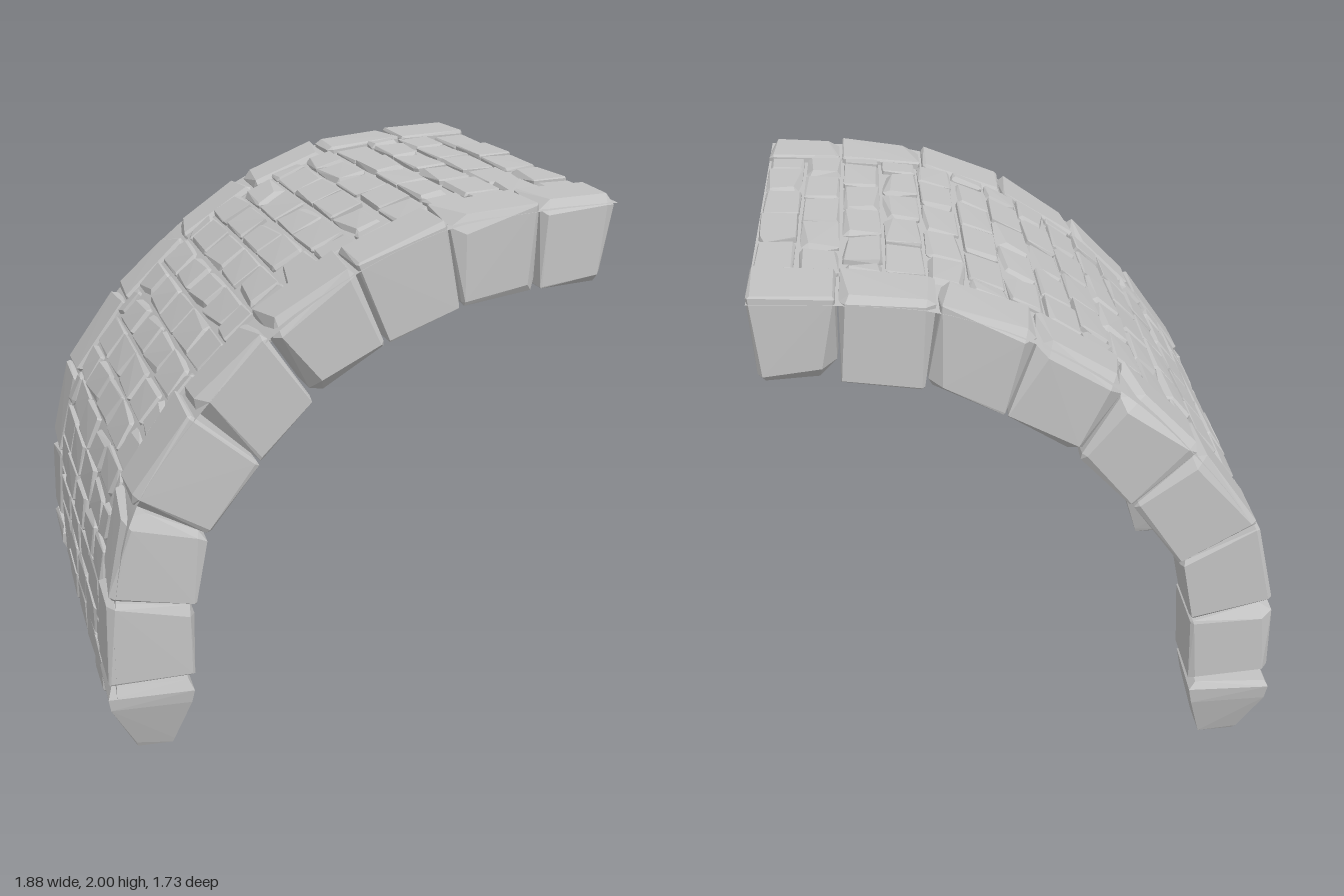
import * as THREE from 'three';
import { mergeGeometries } from 'three/addons/utils/BufferGeometryUtils.js';
import { ConvexGeometry } from 'three/addons/geometries/ConvexGeometry.js';
import { ParametricGeometry } from 'three/addons/geometries/ParametricGeometry.js';

let seed = 7;
const rand = () => {
  seed = (seed * 16807) % 2147483647;
  return seed / 2147483647;
};
const V = (x, y, z = 0) => new THREE.Vector3(x, y, z);

// Joints of the edge stones: [outer x, outer y, inner x, inner y]
const JOINTS = [
  [-0.94, 0.31, -0.62, 0.30], [-0.93, 0.65, -0.61, 0.595], [-0.845, 1.01, -0.555, 0.86],
  [-0.615, 1.335, -0.365, 1.12], [-0.35, 1.60, -0.165, 1.33], [-0.035, 1.81, 0.09, 1.515],
  [0.305, 1.945, 0.36, 1.625], [0.64, 1.985, 0.65, 1.67], [0.935, 2.0, 0.915, 1.68],
];

// Outer line of the vault, with a helper giving a point at a depth below it
const outline = new THREE.CatmullRomCurve3([V(-0.935, 0.14), ...JOINTS.map(j => V(j[0] * 0.997, j[1] - 0.006))]);
outline.arcLengthDivisions = 600;
function below(t, depth) {
  const p = outline.getPointAt(t), d = outline.getTangentAt(t);
  return V(p.x + d.y * depth, p.y - d.x * depth);
}

// Roughly hewn stone: a four-cornered section between z0 and z1 with uneven chipped corners
function stone(outerA, outerB, innerB, innerA, z0, z1, chip, taper = 0) {
  const size = [outerA.distanceTo(outerB), outerA.distanceTo(innerA), z1 - z0];
  const points = [];
  for (let n = 0; n < 8; n++) {
    const corner = [n & 1, (n >> 1) & 1, (n >> 2) & 1];
    const cut = chip * (0.25 + 1.1 * rand() * rand() * 1.6);
    for (let axis = 0; axis < 3; axis++) {
      const [u, v, w] = corner.map((c, k) => {
        const inset = (k === axis ? 0.005 * rand() : cut * (0.5 + rand() * 0.8)) / size[k];
        return c ? 1 - inset : inset;
      });
      const p = outerA.clone().lerp(outerB, u).lerp(innerA.clone().lerp(innerB, u), v);
      p.z = THREE.MathUtils.lerp(z0 + taper * v, z1 - taper * v, w);
      points.push(p);
    }
  }
  return new ConvexGeometry(points);
}

// Pointed foot stone: rings of [y, x0, x1, half depth]
function footStone(zMid) {
  const rings = [[0, -0.83, -0.70, 0.055], [0.015, -0.84, -0.69, 0.065], [0.2, -0.935, -0.64, 0.12],
    [0.26, -0.94, -0.63, 0.13], [0.29, -0.925, -0.65, 0.115]];
  const points = [];
  for (const [y, x0, x1, h] of rings) {
    for (const x of [x0, x1]) for (const s of [-1, 1]) {
      const r = () => (rand() - 0.5) * 0.012;
      points.push(V(x + r(), y === 0 ? 0 : y + r() * 2, zMid + s * h + r()));
    }
  }
  return new ConvexGeometry(points);
}

export function createModel() {
  seed = 7;
  const group = new THREE.Group();
  const stoneMat = new THREE.MeshStandardMaterial({ color: 0xc2c2c2 });
  stoneMat.name = 'greyStone';
  const add = (name, geometry) => {
    const mesh = new THREE.Mesh(geometry, stoneMat);
    mesh.name = name;
    group.add(mesh);
  };

  // Arched edge ribs at the front and back
  for (const side of [1, -1]) {
    const stones = [footStone(side * 0.73)];
    for (let i = 0; i < JOINTS.length - 1; i++) {
      const [a, b, c, d] = JOINTS[i], [e, f, g, h] = JOINTS[i + 1];
      const inner = 0.59 + rand() * 0.015;
      const z = side > 0 ? [inner, 0.86] : [-0.86, -inner];
      const gap = 0.012;
      const A = V(a, b), B = V(e, f), C = V(g, h), D = V(c, d);
      const last = i === JOINTS.length - 2;
      stones.push(stone(
        A.clone().lerp(B, gap), A.clone().lerp(B, last ? 1 : 1 - gap),
        D.clone().lerp(C, last ? 1 : 1 - gap), D.clone().lerp(C, gap), z[0], z[1], 0.036));
    }
    add(side > 0 ? 'frontRib' : 'backRib', mergeGeometries(stones));
  }

  // Rows of staggered bricks filling the vault between the ribs
  const ROWS = 20, PITCH = 0.265, GAP = 0.005;
  const rowStarts = [-0.655, -0.585, -0.515];
  for (let row = 0; row < ROWS; row++) {
    const t0 = row / ROWS + 0.0015, t1 = (row + 1) / ROWS - 0.0015;
    const bricks = [];
    for (let z = rowStarts[row % 3] - PITCH; z < 0.6; z += PITCH) {
      const z0 = Math.max(z + GAP, -0.62), z1 = Math.min(z + PITCH - GAP, 0.62);
      if (z1 - z0 < 0.06) continue;
      const lift = rand() * 0.012, depth = 0.13 + rand() * 0.02;
      bricks.push(stone(below(t0, lift), below(t1, lift), below(t1, depth), below(t0, depth),
        z0, z1, 0.024, 0.006));
    }
    add('brickRow' + (row + 1), mergeGeometries(bricks));
  }

  // Thin mortar skin just under the outer faces, facing outward only
  const skin = new ParametricGeometry((u, v, target) => {
    target.copy(below(0.04 + 0.96 * u, 0.026));
    target.z = 0.86 - 1.72 * v;
  }, 30, 1);
  add('mortarSkin', skin);

  return group;
}
